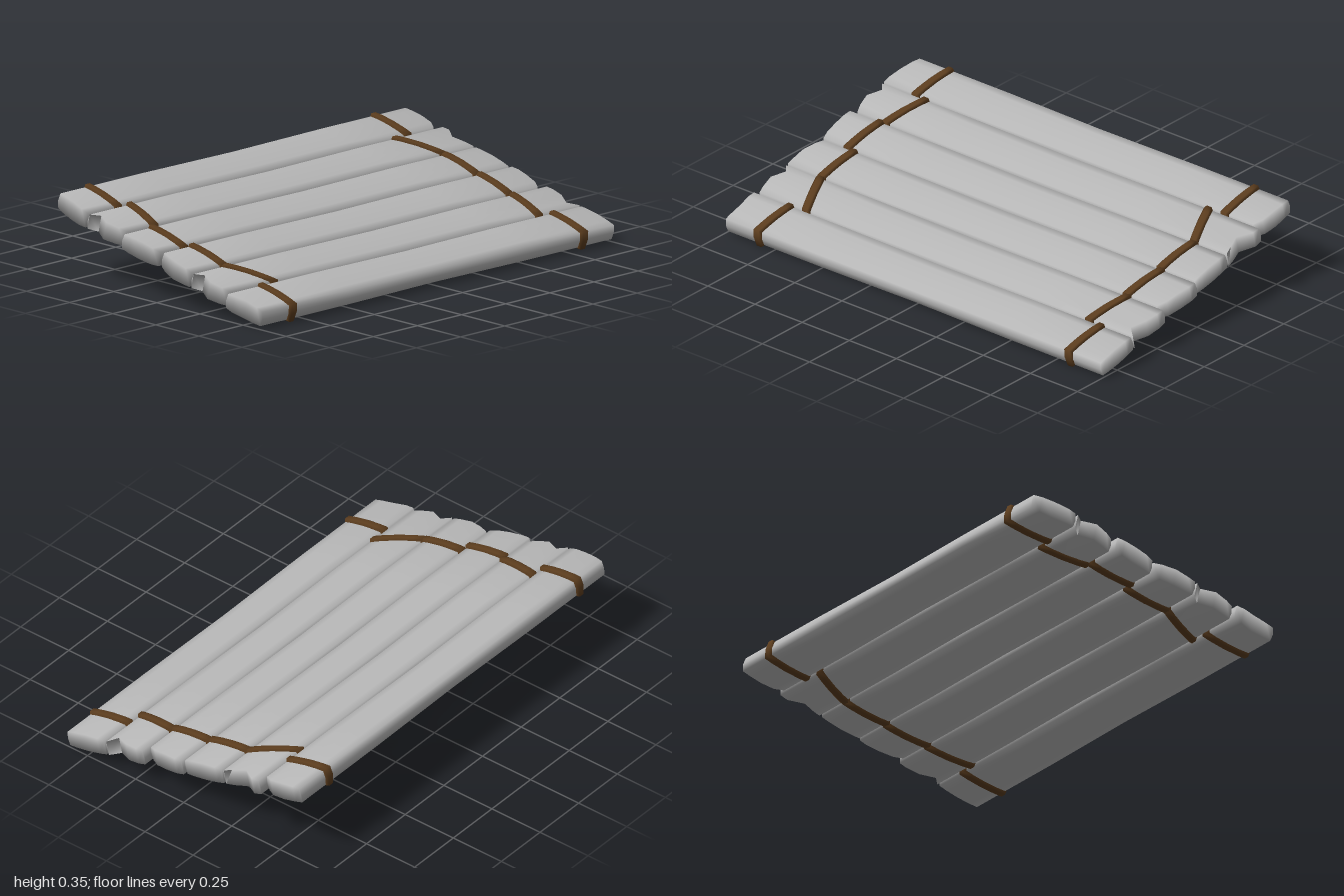
import * as THREE from 'three';

const HALF = 0.101;   // half width of a log, along the slope
const PITCH = 0.206;  // distance between logs
const COLS = [-0.96, -0.6, 0, 0.6, 0.96];

// flattened log section as a closed loop of [z, y, column]
function section(grow) {
  const point = (c, s) => {
    const v = COLS[c];
    return [v * (HALF + grow), s * (0.031 + 0.007 * (1 - v * v) + grow), c];
  };
  const top = COLS.map((_, c) => point(c, 1));
  const bottom = COLS.map((_, c) => point(4 - c, -1));
  return [...top, [HALF + 0.002 + grow, 0, 4], ...bottom, [-HALF - 0.002 - grow, 0, 0]];
}

// closed solid through rings; each ring has five x values across the width
function loft(rings) {
  const pos = [], idx = [], n = 12;
  for (const { xs, grow } of rings)
    for (const [z, y, c] of section(grow)) pos.push(xs[c], y, z);
  for (let k = 0; k < rings.length - 1; k++)
    for (let j = 0; j < n; j++) {
      const a = k * n + j, b = k * n + (j + 1) % n;
      idx.push(a, b, b + n, a, b + n, a + n);
    }
  const last = (rings.length - 1) * n;
  const cap = (a, b, c) => {
    idx.push(last + a, last + b, last + c);
    idx.push(a, c, b);
  };
  for (let i = 0; i < 4; i++) {
    cap(i, i + 1, 9 - i);
    cap(i, 9 - i, 10 - i);
  }
  cap(4, 5, 6);
  cap(10, 11, 0);
  const g = new THREE.BufferGeometry();
  g.setAttribute('position', new THREE.Float32BufferAttribute(pos, 3));
  g.setIndex(idx);
  g.computeVertexNormals();
  return g;
}

// per log, back to front: uneven ends, and lashing x at the back and front edges
const LOGS = [
  { left: [-0.97, -0.98, -0.99, -1, -1], right: [0.985, 0.985, 0.985, 0.98, 0.96], ropes: [[-0.81, -0.83], [0.81, 0.81]] },
  { left: [-1, -0.97, -1, -0.985, -0.97], right: [1, 1, 0.96, 0.98, 0.99], ropes: [[-0.77, -0.82], [0.73, 0.82]] },
  { left: [-1, -1, -0.995, -0.99, -0.98], right: [0.99, 0.99, 0.99, 0.99, 0.99], ropes: [[-0.84, -0.85], [0.82, 0.81]] },
  { left: [-0.97, -0.985, -1, -1, -1], right: [1, 1, 0.99, 0.98, 0.96], ropes: [[-0.81, -0.82], [0.82, 0.80]] },
  { left: [-1, -0.97, -1, -0.99, -0.98], right: [1, 1, 0.99, 0.96, 1], ropes: [[-0.82, -0.73], [0.81, 0.77]] },
  { left: [-1, -1, -0.99, -0.99, -0.99], right: [1, 1, 1, 1, 1], ropes: [[-0.81, -0.82], [0.84, 0.83]] },
];

export function createModel() {
  const logGrey = new THREE.MeshStandardMaterial({ color: 0xb8b8b8 });
  logGrey.name = 'logGrey';
  const ropeBrown = new THREE.MeshStandardMaterial({ color: 0x5c3d1e });
  ropeBrown.name = 'ropeBrown';

  const model = new THREE.Group();
  model.name = 'logPanel';
  // the whole panel slopes down towards the front
  const panel = new THREE.Group();
  panel.name = 'slopedPanel';
  panel.rotation.x = 0.222;
  panel.position.y = 0.178;
  model.add(panel);

  const add = (name, geometry, material, z) => {
    const mesh = new THREE.Mesh(geometry, material);
    mesh.name = name;
    mesh.position.z = z;
    panel.add(mesh);
  };

  LOGS.forEach(({ left, right, ropes }, i) => {
    const z = (i - 2.5) * PITCH;
    const middle = [-0.5, 0, 0.5].map(x => ({
      xs: COLS.map(() => x), grow: x === 0 ? -0.003 : 0,
    }));
    add(`log${i + 1}`, loft([{ xs: left, grow: 0 }, ...middle, { xs: right, grow: 0 }]), logGrey, z);

    // slanted lashing wrapped round the log, thicker along its middle
    ropes.forEach(([back, front], side) => {
      const rings = [[-0.022, 0.002], [-0.012, 0.009], [0.012, 0.009], [0.022, 0.002]].map(([dx, grow]) => ({
        xs: COLS.map(v => dx + back + (front - back) * (v + 1) / 2), grow,
      }));
      add(`${side ? 'left' : 'right'}Lashing${i + 1}`, loft(rings), ropeBrown, z);
    });
  });
  return model;
}
